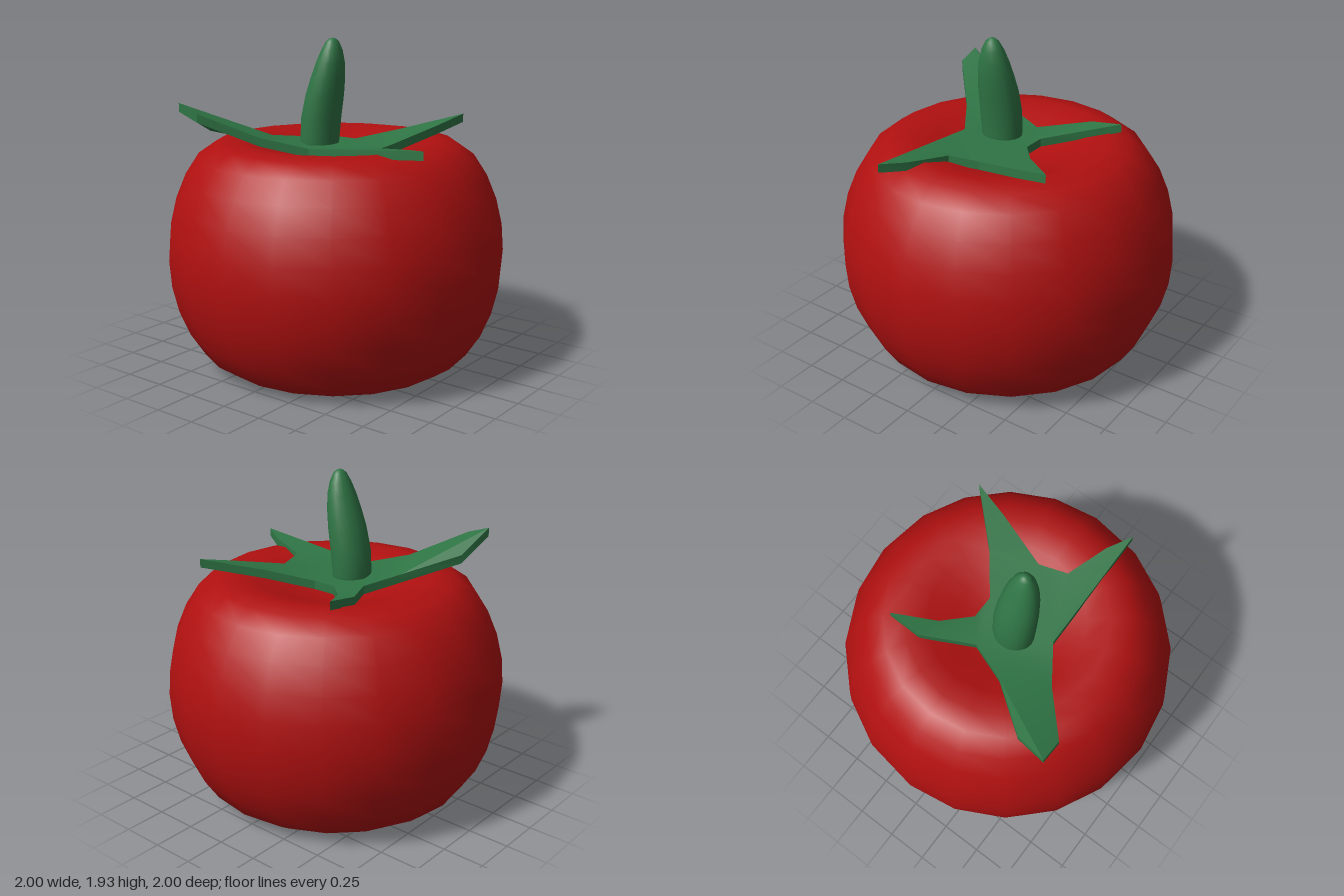
import * as THREE from 'three';
import { mergeVertices, toCreasedNormals } from 'three/addons/utils/BufferGeometryUtils.js';

const RED = new THREE.MeshStandardMaterial({ color: 0xb01010 });
const GREEN = new THREE.MeshStandardMaterial({ color: 0x2f7545 });

function part(name, geometry, material) {
  const mesh = new THREE.Mesh(geometry, material);
  mesh.name = name;
  return mesh;
}

// Lathe welded along its seam, so the shading is smooth all round
function smoothLathe(points, sides, bend) {
  const g = new THREE.LatheGeometry(points, sides);
  const p = g.attributes.position;
  if (bend) for (let i = 0; i < p.count; i++) bend(p, i);
  g.deleteAttribute('uv');
  g.deleteAttribute('normal');
  const welded = mergeVertices(g, 1e-4);
  welded.computeVertexNormals();
  return welded;
}

// Sphere with both poles pressed in to form dimples
function fruit() {
  const heights = [0.53, 0.55, 0.59, 0.64, 0.67, 0.65, 0.58, 0.454, 0.309, 0.156, 0];
  const points = [];
  for (let i = 0; i <= 20; i++) {
    const h = i <= 10 ? -heights[i] : heights[20 - i];
    const r = i % 20 === 0 ? 0 : Math.sin((i * Math.PI) / 20);
    points.push(new THREE.Vector2(r, 0.67 + h));
  }
  return part('fruit', smoothLathe(points, 20), RED);
}

// Four-armed leaf star: outline as x, z and height of the upper face
function calyx() {
  const outline = [
    [-0.6, 0.68, 1.57], [-0.46, 0.68, 1.52], [-0.2, 0.45, 1.38], [0.03, 0.295, 1.32],
    [0.8, 0.295, 1.39], [0.66, 0.21, 1.37], [0.41, 0.12, 1.34], [0.36, -0.05, 1.33],
    [0.46, -0.38, 1.41], [0.51, -0.59, 1.46], [0.25, -0.32, 1.38], [0.03, -0.15, 1.32],
    [-0.11, -0.15, 1.32], [-0.26, -0.29, 1.34], [-0.4, -0.52, 1.4], [-0.4, -0.32, 1.37],
    [-0.24, -0.04, 1.32], [-0.33, 0.19, 1.35], [-0.55, 0.48, 1.44],
  ];
  const shape = new THREE.Shape(outline.map(([x, z]) => new THREE.Vector2(x, -z)));
  const g = new THREE.ExtrudeGeometry(shape, { depth: 0.05, bevelEnabled: false });
  g.rotateX(-Math.PI / 2);
  const p = g.attributes.position;
  for (let i = 0; i < p.count; i++) {
    const corner = outline.find(([x, z]) => Math.hypot(x - p.getX(i), z - p.getZ(i)) < 1e-3);
    p.setY(i, p.getY(i) + corner[2] - 0.05);
  }
  return part('calyx', toCreasedNormals(g, 0.5), GREEN);
}

// Rounded, tapering stem that leans towards +x
function stem() {
  const profile = [
    [0, 1.2], [0.115, 1.2], [0.124, 1.34], [0.127, 1.47], [0.121, 1.6], [0.108, 1.7],
    [0.09, 1.79], [0.067, 1.86], [0.04, 1.91], [0.018, 1.927], [0, 1.93],
  ].map(([r, y]) => new THREE.Vector2(r, y));
  const g = smoothLathe(profile, 20, (p, i) => {
    const t = THREE.MathUtils.smoothstep(p.getY(i), 1.34, 1.95);
    p.setX(i, p.getX(i) * 0.87 - 0.055 + 0.095 * t);
    p.setZ(i, p.getZ(i) + 0.082);
  });
  return part('stem', g, GREEN);
}

export function createModel() {
  const model = new THREE.Group();
  model.name = 'tomato';
  model.add(fruit(), calyx(), stem());
  return model;
}
